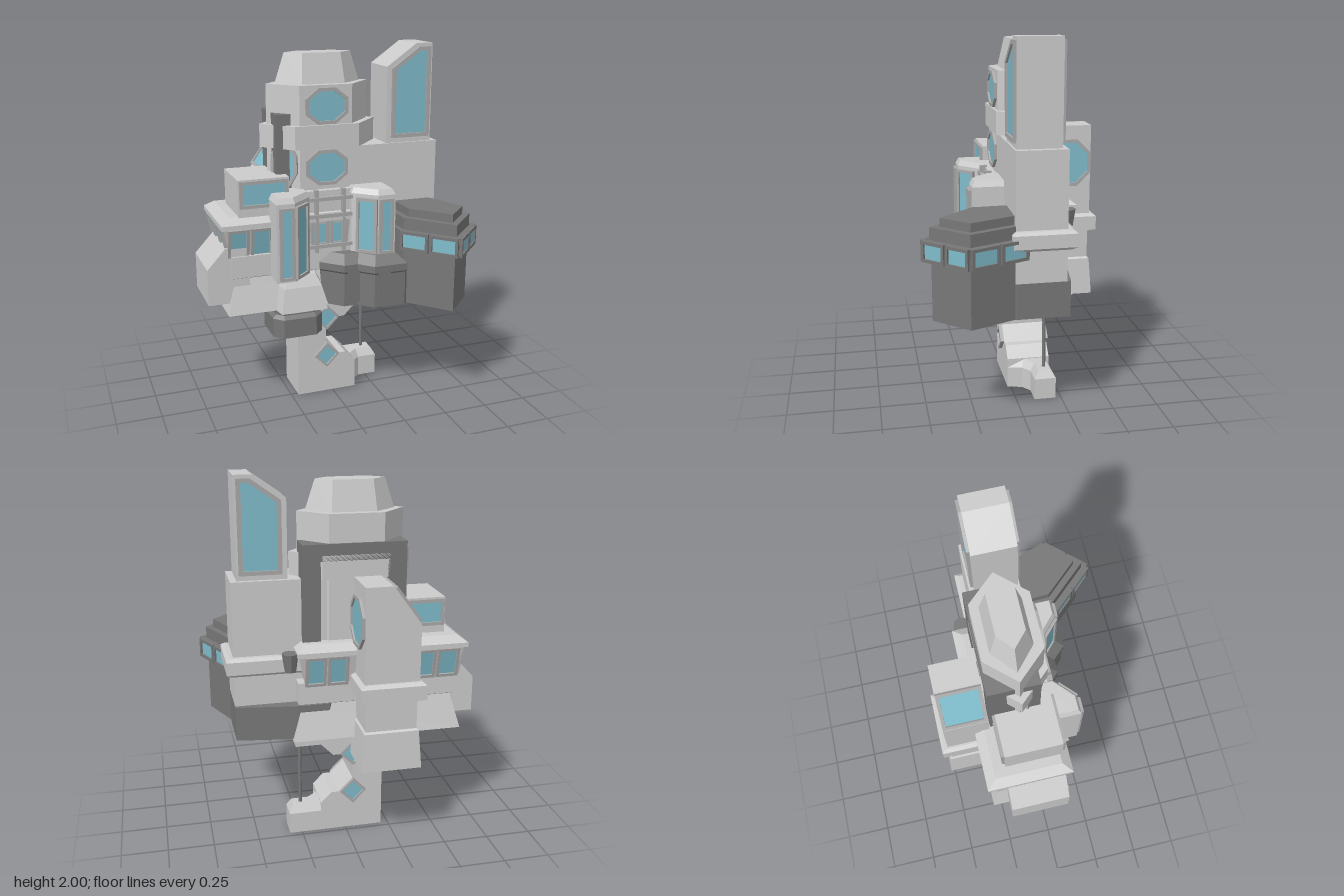
import * as THREE from 'three';

const make = (color) => new THREE.MeshStandardMaterial({ color, flatShading: true });
const LIGHT = make(0xcccccc), DARK = make(0x777777), FRAME = make(0xaaaaaa), GLASS = make(0x7fbccb);

export function createModel() {
  const root = new THREE.Group();
  const add = (name, geo, mat = LIGHT, parent = root) => {
    const m = new THREE.Mesh(geo, mat);
    m.name = name;
    parent.add(m);
    return m;
  };
  const v2 = (pts) => pts.map(([x, y]) => new THREE.Vector2(x, y));
  const ccw = (pts) => (THREE.ShapeUtils.area(v2(pts)) < 0 ? [...pts].reverse() : pts);
  const rect = (x0, x1, y0, y1) => [[x0, y0], [x1, y0], [x1, y1], [x0, y1]];

  // Grow (or shrink) an outline by a mitred distance
  const grow = (pts, d) => pts.map((p, i) => {
    const a = pts[(i + pts.length - 1) % pts.length], b = pts[(i + 1) % pts.length];
    const l1 = Math.hypot(p[0] - a[0], p[1] - a[1]), l2 = Math.hypot(b[0] - p[0], b[1] - p[1]);
    const n1 = [(p[1] - a[1]) / l1, (a[0] - p[0]) / l1], n2 = [(b[1] - p[1]) / l2, (p[0] - b[0]) / l2];
    const k = d / (1 + n1[0] * n2[0] + n1[1] * n2[1]);
    return [p[0] + k * (n1[0] + n2[0]), p[1] + k * (n1[1] + n2[1])];
  });

  // Stack a plan outline (x, z) through levels of [y, offset]
  const loft = (name, outline, levels, mat = LIGHT) => {
    const base = ccw(outline), pos = [], n = base.length;
    const rings = levels.map(([y, d]) => grow(base, d).map(([x, z]) => [x, y, z]));
    for (let k = 0; k + 1 < rings.length; k++) {
      for (let i = 0; i < n; i++) {
        const j = (i + 1) % n, [r, s] = [rings[k], rings[k + 1]];
        pos.push(...r[i], ...s[i], ...s[j], ...r[i], ...s[j], ...r[j]);
      }
    }
    for (const [ring, up] of [[rings[0], false], [rings.at(-1), true]]) {
      const flat = ring.map((p) => [p[0], p[2]]);
      for (const t of THREE.ShapeUtils.triangulateShape(v2(flat), [])) {
        const down = THREE.ShapeUtils.area(v2(t.map((i) => flat[i]))) > 0;
        const tri = down === up ? [t[0], t[2], t[1]] : t;
        tri.forEach((i) => pos.push(...ring[i]));
      }
    }
    const g = new THREE.BufferGeometry();
    g.setAttribute('position', new THREE.Float32BufferAttribute(pos, 3));
    g.computeVertexNormals();
    return add(name, g, mat);
  };

  // Extrude a front profile (x, y) from z0 to z1
  const slab = (name, pts, z0, z1, mat = LIGHT) => add(name,
    new THREE.ExtrudeGeometry(new THREE.Shape(v2(pts)), { depth: z1 - z0, bevelEnabled: false }).translate(0, 0, z0), mat);
  const block = (name, x0, x1, y0, y1, z0, z1, mat) => slab(name, rect(x0, x1, y0, y1), z0, z1, mat);

  // Framed window: glass outline centred on a point, turned by ry and leaned by rx
  const windowAt = (name, pts, x, y, z, ry = 0, rx = 0, w = 0.018, mat = FRAME) => {
    const g = new THREE.Group(), inner = ccw(pts);
    const shape = new THREE.Shape(v2(grow(inner, w)));
    shape.holes.push(new THREE.Path(v2(inner)));
    add(name + 'Frame', new THREE.ExtrudeGeometry(shape, { depth: 0.03, bevelEnabled: false }).translate(0, 0, -0.015), mat, g);
    add(name + 'Glass', new THREE.ShapeGeometry(new THREE.Shape(v2(inner))).translate(0, 0, 0.005), GLASS, g);
    g.name = name;
    g.rotation.set(rx, ry, 0, 'YXZ');
    g.position.set(x, y, z);
    root.add(g);
  };
  // Row of n windows along a wall from a to b (plan points, outside on the right)
  const wallWindows = (name, a, b, y0, y1, n = 1, lean = 0, mat = FRAME) => {
    const dx = b[0] - a[0], dz = b[1] - a[1], w = Math.hypot(dx, dz) / n;
    for (let i = 0; i < n; i++) {
      const t = (i + 0.5) / n, h = (y1 - y0) / 2;
      windowAt(name, rect(-w / 2 + 0.02, w / 2 - 0.02, -h, h), a[0] + dx * t, (y0 + y1) / 2, a[1] + dz * t,
        Math.atan2(dz, -dx), lean, 0.016, mat);
    }
  };
  const octagon = (rx, ry, k = 0.42) => [[rx, -ry * k], [rx, ry * k], [rx * k, ry], [-rx * k, ry],
    [-rx, ry * k], [-rx, -ry * k], [-rx * k, -ry], [rx * k, -ry]];
  const hexa = (x0, x1, z0, z1, f) => {
    const m = (z0 + z1) / 2;
    return [[x0, m], [x0 + f, z0], [x1 - f, z0], [x1, m], [x1 - f, z1], [x0 + f, z1]];
  };

  // Foot and stem
  loft('foot', [[-0.21, 0.02], [0.14, 0.02], [0.16, -0.06], [0.21, -0.1], [0.32, -0.1], [0.32, -0.22], [-0.21, -0.22]],
    [[0, 0], [0.12, 0], [0.165, -0.025]]);
  slab('stem', [[-0.21, 0], [0.14, 0], [0.14, 0.17], [0.08, 0.23], [0.04, 0.23], [-0.04, 0.31], [-0.04, 0.41],
    [0, 0.46], [0.07, 0.46], [0.14, 0.53], [0.28, 0.53], [0.28, 0.62], [-0.21, 0.62]], -0.22, 0.02);
  for (const y of [0.235, 0.47]) {
    const diamond = [[0.058, 0], [0, 0.058], [-0.058, 0], [0, -0.058]];
    windowAt('diamondWindowFront', diamond, -0.04, y, 0.025, 0, 0, 0.012);
    windowAt('diamondWindowBack', diamond, -0.04, y, -0.225, Math.PI, 0, 0.012);
  }
  add('strut', new THREE.CylinderGeometry(0.01, 0.01, 0.4, 8).translate(0.25, 0.35, -0.165), DARK);
  loft('lowerPod', [[-0.36, -0.15], [-0.36, 0.04], [-0.31, 0.09], [-0.12, 0.09], [-0.07, 0.04], [-0.07, -0.15]],
    [[0.4, 0], [0.51, 0], [0.53, -0.02], [0.62, -0.02]], DARK);
  windowAt('lowerPodWindow', rect(-0.06, 0.06, -0.02, 0.02), -0.21, 0.575, 0.075, 0, 0, 0.01);

  // Grey lower body with flared skirt
  loft('skirt', rect(-0.58, 0.25, -0.26, 0.09), [[0.6, 0.05], [0.79, 0], [0.8, 0.02], [0.92, 0.02]]);
  loft('frontArmour', [[-0.36, 0], [-0.33, 0.18], [-0.12, 0.18], [-0.08, 0]], [[0.6, 0.03], [0.73, 0], [0.79, -0.03]]);
  slab('leftPod', [[-0.73, 0.66], [-0.73, 0.86], [-0.63, 0.97], [-0.5, 0.97], [-0.5, 0.66]], -0.22, 0.1);

  // Bridge with outward-leaning windows
  const deck = rect(-0.65, 0.28, -0.33, 0.13);
  loft('bridge', deck, [[0.89, -0.055], [1.08, -0.015]]);
  loft('bridgeRoof', deck, [[1.075, 0], [1.1, 0], [1.135, -0.05]]);
  const lean = 0.2;
  wallWindows('bridgeFrontWindow', [-0.37, 0.1], [-0.62, 0.1], 0.92, 1.06, 2, lean);
  wallWindows('bridgeSideWindow', [-0.618, 0.09], [-0.618, -0.29], 0.92, 1.06, 3, lean);
  wallWindows('bridgeBackWindow', [-0.61, -0.298], [-0.35, -0.298], 0.92, 1.06, 2, lean);
  wallWindows('bridgeBackWindow', [0, -0.298], [0.24, -0.298], 0.92, 1.06, 2, lean);
  add('sensor', new THREE.CylinderGeometry(0.045, 0.03, 0.1, 8).translate(0.31, 1.04, -0.27), DARK);

  // Box on the left roof
  block('roofBox', -0.55, -0.27, 1.12, 1.33, -0.215, 0.09);
  windowAt('roofBoxFrontWindow', rect(-0.115, 0.115, -0.055, 0.055), -0.41, 1.25, 0.09);
  windowAt('roofBoxBackWindow', rect(-0.115, 0.115, -0.055, 0.055), -0.41, 1.25, -0.215, Math.PI);

  // Central tower
  loft('towerLower', hexa(-0.34, 0.235, -0.235, 0.065, 0.14), [[0.9, 0], [1.47, 0]]);
  loft('towerCollar', hexa(-0.38, 0.28, -0.245, 0.08, 0.15), [[1.465, 0], [1.59, 0]]);
  loft('towerUpper', hexa(-0.34, 0.235, -0.235, 0.065, 0.14), [[1.59, 0], [1.8, 0]]);
  loft('towerCap', hexa(-0.29, 0.19, -0.19, 0.02, 0.12), [[1.8, 0], [1.96, -0.035]]);
  for (const y of [1.36, 1.69]) windowAt('towerWindow', octagon(0.1, 0.078), -0.05, y, 0.065);
  windowAt('towerSideWindow', octagon(0.06, 0.1), -0.265, 1.38, 0.0, -0.75);
  block('towerBracket', -0.32, -0.23, 1.25, 1.65, -0.22, 0.025, DARK);

  // Dark framed panel behind the tower
  block('backPanel', -0.31, 0.225, 1.1, 1.64, -0.225, -0.1, LIGHT);
  for (const [x0, x1, y0] of [[-0.32, -0.22, 1.1], [0.14, 0.235, 1.1], [-0.32, 0.235, 1.56]]) {
    block('backPanelFrame', x0, x1, y0, 1.65, -0.245, -0.1, DARK);
  }

  // Right block, belt and fin
  block('rightBlock', 0.08, 0.6, 0.79, 1.465, -0.2, 0.065);
  loft('rightBelt', rect(0.1, 0.64, -0.245, 0.085), [[0.96, -0.03], [0.98, 0], [1.05, 0], [1.065, -0.02]]);
  const fin = [[0.3, 1.46], [0.565, 1.46], [0.565, 2], [0.47, 2], [0.3, 1.88]];
  slab('fin', fin, -0.175, 0.055);
  const finGlass = [[-0.085, -0.23], [0.095, -0.23], [0.095, 0.215], [0.055, 0.215], [-0.085, 0.115]];
  windowAt('finFrontWindow', finGlass, 0.435, 1.745, 0.055, 0, 0, 0.022);
  windowAt('finBackWindow', finGlass.map(([x, y]) => [-x, y]), 0.435, 1.745, -0.175, Math.PI, 0, 0.022);

  // Front bays, mirrored about x = -0.05
  block('frontCentre', -0.3, 0.2, 0.79, 1.24, 0, 0.1);
  for (const s of [-1, 1]) {
    const mx = (x) => -0.05 + s * x, low = s < 0 ? 0.79 : 0.88;
    const bay = [[0.12, 0], [0.12, 0.13], [0.235, 0.235], [0.335, 0.235], [0.335, 0]].map(([x, z]) => [mx(x), z]);
    loft('frontBay', bay, [[low, 0], [1.22, 0], [1.25, -0.015]]);
    const p = [[mx(0.14), 0.15], [mx(0.235), 0.237], [mx(0.325), 0.237]];
    for (let i = 0; i < 2; i++) {
      const [a, b] = s > 0 ? [p[i + 1], p[i]] : [p[i], p[i + 1]];
      wallWindows('bayWindow', a, b, low + 0.03, 1.185);
    }
  }
  wallWindows('centreWindow', [0.06, 0.105], [-0.16, 0.105], 0.95, 1.075, 2);
  for (const y of [0.925, 1.095, 1.19]) block('centreRail', -0.18, 0.08, y, y + 0.02, 0.09, 0.135, FRAME);
  for (const x of [-0.135, 0.02]) block('centrePost', x, x + 0.018, 0.9, 1.25, 0.09, 0.13, FRAME);

  // Dark hull and faceted right pod
  loft('hull', [[-0.1, -0.1], [-0.1, 0.11], [0, 0.21], [0.08, 0.21], [0.15, 0.285], [0.33, 0.285], [0.6, 0.06],
    [0.6, -0.22], [0.28, -0.27], [0.1, -0.27]], [[0.6, 0], [0.79, 0]], DARK);
  loft('hullRim', [[-0.1, 0], [-0.1, 0.11], [0, 0.21], [0.08, 0.21], [0.15, 0.285], [0.33, 0.285], [0.33, 0]],
    [[0.79, 0], [0.8, 0.008], [0.84, 0.008], [0.89, -0.04]], DARK);
  for (const x of [0.02, 0.17]) block('hullPanel', x, x + 0.07, 0.62, 0.82, 0.15, x < 0.1 ? 0.22 : 0.295, DARK);
  const pod = [[0.29, 0.0], [0.6, 0.0], [0.73, 0.31], [0.53, 0.52], [0.3, 0.27]];
  loft('rightPod', pod, [[0.6, -0.03], [0.92, -0.03], [0.92, 0], [1.025, 0], [1.025, -0.025], [1.09, -0.025],
    [1.09, -0.06], [1.135, -0.06]], DARK);
  const band = ccw(pod);
  for (let i = 0; i < band.length; i++) {
    const a = band[i], b = band[(i + 1) % band.length];
    if (a[1] + b[1] > 0.28) wallWindows('podWindow', a, b, 0.935, 1.01, 2, 0, DARK);
  }

  // Rear tower with sloped skylight
  slab('rearTower', [[-0.33, 0.86], [-0.035, 0.86], [-0.035, 1.475], [-0.18, 1.475], [-0.33, 1.27]], -0.49, -0.25);
  loft('rearBelt', rect(-0.36, -0.01, -0.525, -0.25), [[0.87, 0], [0.95, 0], [0.965, -0.02]]);
  loft('rearLower', rect(-0.33, -0.035, -0.495, -0.26), [[0.48, 0.015], [0.69, 0.0], [0.7, -0.01], [0.88, -0.01]]);
  windowAt('rearSideWindow', octagon(0.115, 0.115), -0.035, 1.265, -0.355, Math.PI / 2);
  windowAt('rearSkylight', rect(-0.1, 0.1, -0.095, 0.095), -0.255, 1.3725, -0.37, -Math.PI / 2, -Math.atan2(0.15, 0.205));

  return root;
}
